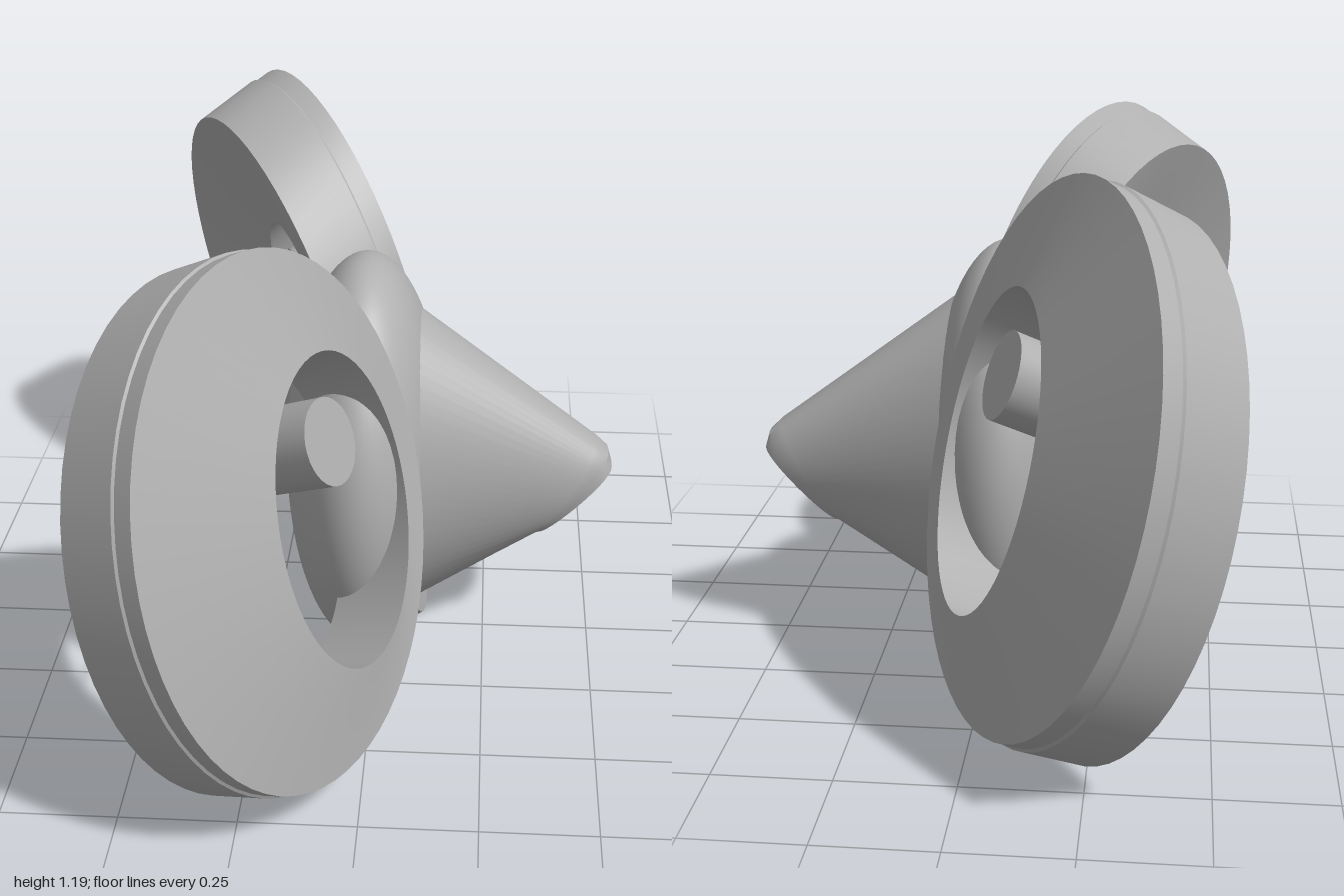
import * as THREE from 'three';
import { toCreasedNormals } from 'three/addons/utils/BufferGeometryUtils.js';

const V = (x, y, z) => new THREE.Vector3(x, y, z);
const grey = new THREE.MeshStandardMaterial({ color: 0xb0b0b0, side: THREE.DoubleSide });
grey.name = 'plain grey';

// Skin a list of closed sections; each section maps an angle to a point.
function loft(name, sections, sides = 64) {
  const geo = new THREE.PlaneGeometry(1, 1, sides, sections.length - 1);
  const pos = geo.attributes.position;
  sections.forEach((section, row) => {
    for (let i = 0; i <= sides; i++) {
      const p = section(((i % sides) / sides) * Math.PI * 2);
      pos.setXYZ(row * (sides + 1) + i, p.x, p.y, p.z);
    }
  });
  const mesh = new THREE.Mesh(toCreasedNormals(geo, 0.5), grey);
  mesh.name = name;
  return mesh;
}

// Sloping plane where the nose meets the collar
const planeX = (y) => 0.115 - (y - 0.085) * 0.1667;

// Rounded outline given its top and bottom points and half width; power below 1 squares it off
const slice = (x1, y1, x2, y2, w, power = 1) => (a) => {
  const t = (1 + Math.cos(a)) / 2, s = Math.sin(a);
  return V(x2 + (x1 - x2) * t, y2 + (y1 - y2) * t, w * Math.sign(s) * Math.abs(s) ** power);
};

function makeNose() {
  return loft('noseCone', [
    () => V(0.45, 0.378, 0),
    slice(0.535, 0.465, 0.365, 0.29, 0.07, 0.6),
    slice(0.525, 0.5, 0.365, 0.29, 0.078, 0.65),
    slice(0.5, 0.525, 0.36, 0.288, 0.085, 0.75),
    slice(planeX(0.91), 0.91, planeX(0.13), 0.13, 0.272),
  ]);
}

// Flat-fronted collar that blends into the widest part of the hull
function makeCollar() {
  return loft('collar', [
    () => V(planeX(0.52), 0.52, 0),
    slice(planeX(0.955), 0.955, planeX(0.085), 0.085, 0.315),
    slice(-0.035, 0.954, -0.03, 0.006, 0.355),
  ]);
}

function makeHull() {
  const hull = new THREE.Mesh(new THREE.SphereGeometry(1, 64, 40), grey);
  hull.scale.set(0.18, 0.475, 0.36);
  hull.position.set(-0.03, 0.48, 0);
  hull.name = 'hull';
  return hull;
}

// Ellipse from a centre and two half axes, moved along the duct direction
const axis = V(0.77, 0.46, 0.54);
const oval = (centre, up, out) => (r, depth) => (a) => centre.clone()
  .addScaledVector(up, r * Math.cos(a))
  .addScaledVector(out, r * Math.sin(a))
  .addScaledVector(axis, depth);

// Leaning oval duct with an off-centre hole and a raised mouth
function makeDuct() {
  const rim = oval(V(-0.135, 0.6475, 0.625), V(-0.11, 0.5475, -0.063), V(-0.2245, 0, 0.369));
  const hole = oval(V(-0.035, 0.63, 0.53), V(-0.07, 0.33, -0.03), V(-0.0975, 0, 0.218));
  return loft('ductRing', [
    hole(1, -0.2), hole(1, 0),
    rim(1, 0), rim(1, -0.045), rim(1.01, -0.05), rim(1.005, -0.2),
    hole(1, -0.2),
  ]);
}

function makeHub() {
  const hub = oval(V(-0.065, 0.79, 0.53), V(-0.03, 0.09, 0), V(-0.033, 0, 0.083));
  return loft('hub', [hub(0, 0), hub(1, 0), hub(1, -0.19), hub(0, -0.19)], 32);
}

// Thin slivers between the hub and the duct wall
function makeSlivers(name, triangles) {
  const geo = new THREE.BufferGeometry();
  geo.setAttribute('position', new THREE.Float32BufferAttribute(triangles.flat(), 3));
  geo.computeVertexNormals();
  const mesh = new THREE.Mesh(geo, grey);
  mesh.name = name;
  return mesh;
}

export function createModel() {
  const model = new THREE.Group();
  model.name = 'twinDuctCraft';
  model.add(makeNose(), makeCollar(), makeHull());

  for (const side of [1, -1]) {
    const pod = new THREE.Group();
    pod.name = side > 0 ? 'leftDuct' : 'rightDuct';
    pod.add(makeDuct(), makeHub(), makeSlivers('struts', [
      [-0.18, 0.72, 0.5, -0.24, 0.66, 0.64, -0.22, 0.7, 0.63],
      [-0.16, 0.74, 0.42, -0.12, 0.71, 0.32, -0.12, 0.75, 0.31],
    ]));
    if (side < 0) {
      pod.add(makeSlivers('looseBlade', [
        [-0.15, 0.5, 0.49, -0.1, 0.31, 0.47, -0.13, 0.3, 0.6],
        [-0.2, 0.68, 0.54, -0.23, 0.55, 0.65, -0.22, 0.62, 0.65],
      ]));
    }
    pod.scale.z = side;
    model.add(pod);
  }
  return model;
}
